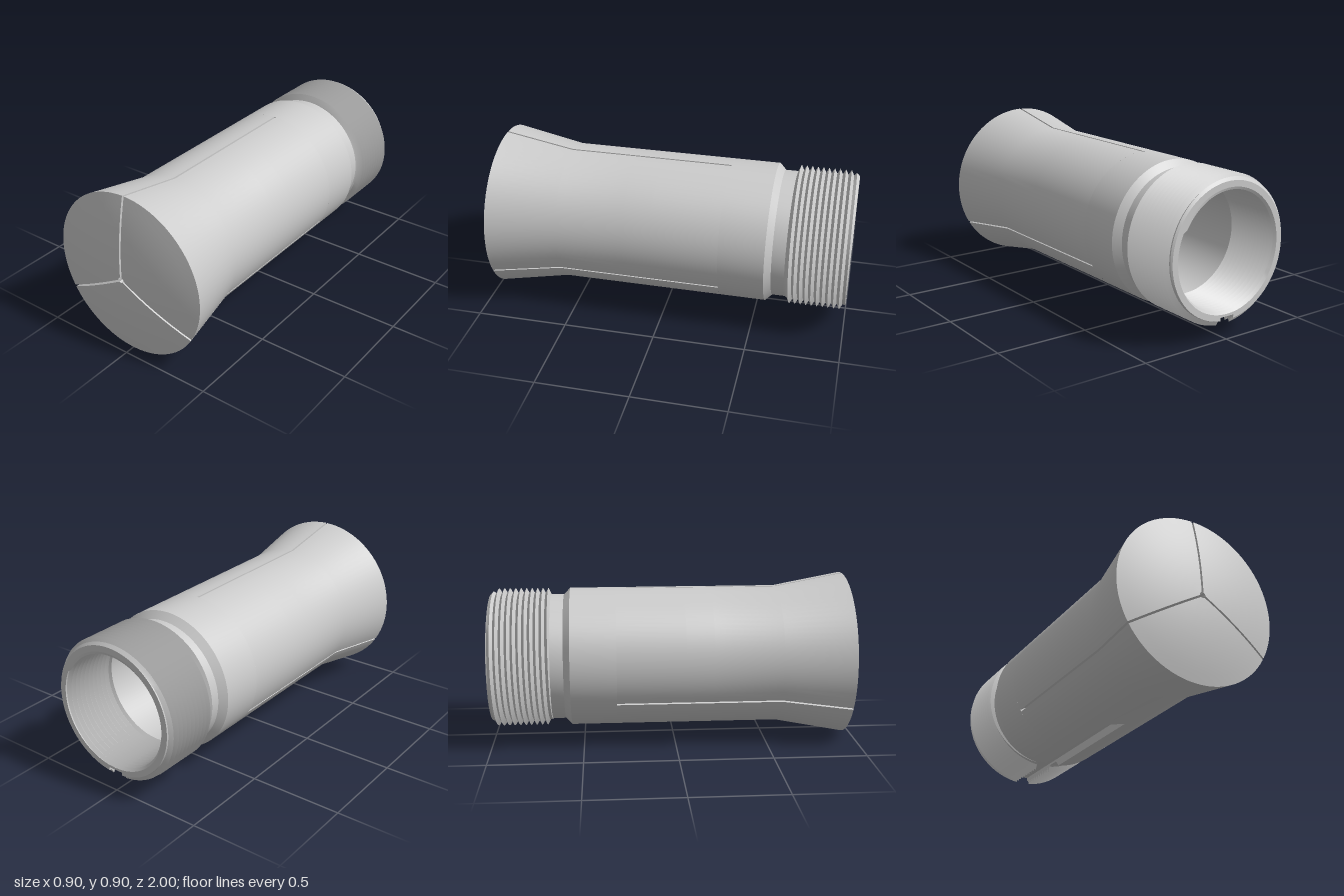
import * as THREE from 'three';
import { toCreasedNormals } from 'three/addons/utils/BufferGeometryUtils.js';

const TAU = Math.PI * 2;
const SLIT = 0.0055;          // half width of the three slits
const KEY = 0.042;            // half width of the keyway underneath
const PITCH = 0.03;
const STEPS = 28;             // columns per third of a turn
const SLIT_END = -0.32, BORE = 0.305, BODY = 0.38;
const START = Math.PI / 2;    // first slit points straight up

// Distance of the keyway floor from the axis; it ramps out towards the front
const keyFloor = (z) => (z > 0.2 ? Infinity : 0.33 + 0.05 * Math.max(0, (z - 0.05) / 0.15));

// Columns of one third: fraction along the sector, or a keyway column
function columns(sector) {
  const cols = [];
  for (let j = 0; j <= STEPS; j++) {
    const t = j / STEPS;
    if (sector === 1 && j === STEPS / 2) {
      for (const [s, cut] of [[-1, false], [-1, true], [0, true], [1, true], [1, false]]) cols.push({ key: true, s, cut, t });
    } else cols.push({ t });
  }
  return cols;
}

// Position of a profile point on a column; gap keeps slit walls parallel
function place([r, z], col, sector, gap) {
  const a = START + (sector * TAU) / 3, b = a + TAU / 3;
  const half = Math.min(KEY, r * 0.5);
  if (col.key) {
    const x = col.s * half, edge = Math.sqrt(r * r - x * x);
    return new THREE.Vector3(x, -(col.cut ? Math.min(edge, keyFloor(z)) : edge), z);
  }
  const inset = Math.asin(Math.min(1, gap / r));
  let from = a + inset, to = b - inset, t = col.t;
  if (sector === 1) {
    // split the sector around the keyway
    const mid = (a + b) / 2, k = Math.asin(half / r);
    if (t < 0.5) { to = mid - k; t *= 2; } else { from = mid + k; t = t * 2 - 1; }
  }
  const th = from + (to - from) * t;
  return new THREE.Vector3(r * Math.cos(th), r * Math.sin(th), z);
}

function triangle(out, a, b, c) {
  const area = b.clone().sub(a).cross(c.clone().sub(a)).length();
  if (area > 1e-9) for (const p of [a, b, c]) out.push(p.x, p.y, p.z);
}

// Sweep a profile over one third; a row is [r, z] or a function of the angle
function sweep(out, rows, sector, gap) {
  const grid = rows.map((row) => columns(sector).map((col) => {
    const angle = ((sector + col.t) * TAU) / 3;
    return place(typeof row === 'function' ? row(angle) : row, col, sector, gap);
  }));
  for (let i = 0; i + 1 < grid.length; i++) {
    for (let j = 0; j + 1 < grid[i].length; j++) {
      triangle(out, grid[i][j], grid[i + 1][j], grid[i][j + 1]);
      triangle(out, grid[i + 1][j], grid[i + 1][j + 1], grid[i][j + 1]);
    }
  }
  return grid;
}

// Flat slit wall closing one end of a sector
function slitWall(out, rows, points, angle, sign) {
  const outward = new THREE.Vector3(-Math.sin(angle), Math.cos(angle), 0).multiplyScalar(sign);
  const contour = rows.map(([r, z]) => new THREE.Vector2(r, z));
  for (const f of THREE.ShapeUtils.triangulateShape(contour, [])) {
    const [a, b, c] = f.map((i) => points[i]);
    const n = b.clone().sub(a).cross(c.clone().sub(a));
    if (n.dot(outward) > 0) triangle(out, a, b, c); else triangle(out, a, c, b);
  }
}

function makeMesh(name, positions, material) {
  let geo = new THREE.BufferGeometry();
  geo.setAttribute('position', new THREE.Float32BufferAttribute(positions, 3));
  geo.scale(100, 100, 100);   // crease test works on a coarse grid
  geo = toCreasedNormals(geo, 0.4);
  geo.scale(0.01, 0.01, 0.01);
  const mesh = new THREE.Mesh(geo, material);
  mesh.name = name;
  return mesh;
}

// Helical rows between z0 (back) and z1 (front), listed from front to back
function threadRows(z0, z1, crest, root, limit) {
  const rows = [];
  const n = Math.ceil((z1 - z0) / PITCH) * 2 + 2;
  for (let k = -1; k <= n + 1; k++) {
    rows.push((angle) => {
      const raw = z1 - (k * PITCH) / 2 + (PITCH * angle) / TAU;
      const z = Math.min(z1, Math.max(z0, raw));
      return [limit(k % 2 ? crest : root, z), z];
    });
  }
  return rows;
}

export function createModel() {
  const group = new THREE.Group();
  group.name = 'collet';
  const material = new THREE.MeshStandardMaterial({ color: 0xcccccc });

  // Jaws: bore, solid nose with pilot hole, domed face, flared head, body
  const jaw = [[BORE, SLIT_END], [BORE, 0.35], [0.016, 0.35]];
  for (let i = 0; i <= 8; i++) {
    const r = 0.016 + (0.434 * i) / 8;
    jaw.push([r, 1 - 0.055 * (r / 0.45) ** 2]);
  }
  jaw.push([BODY, 0.57], [BODY, 0.2], [BODY, 0.05], [BODY, SLIT_END]);
  for (let s = 0; s < 3; s++) {
    const out = [];
    const grid = sweep(out, jaw, s, SLIT);
    const a = START + (s * TAU) / 3;
    slitWall(out, jaw, grid.map((g) => g[0]), a, -1);
    slitWall(out, jaw, grid.map((g) => g[g.length - 1]), a + TAU / 3, 1);
    group.add(makeMesh('jaw' + (s + 1), out, material));
  }

  // Rear sleeve with neck, threads outside and inside
  const outerLimit = (r, z) => Math.min(r, 0.35 + (z + 1), 0.345 + 3 * (-0.67 - z));
  const innerLimit = (r, z) => (z <= -1 ? 0.318 : z >= -0.68 ? BORE : r);
  const parts = {
    rearSleeve: [[BORE, SLIT_END], [BODY, SLIT_END], [BODY, -0.565], [0.345, -0.6], [0.345, -0.67]],
    outerThread: threadRows(-1, -0.67, BODY, 0.352, outerLimit),
    rearRim: [[0.35, -1], [0.318, -1]],
    innerThread: threadRows(-1, -0.68, BORE, 0.322, innerLimit).reverse(),
    rearBore: [[BORE, -0.68], [BORE, SLIT_END]],
  };
  for (const [name, rows] of Object.entries(parts)) {
    const out = [];
    for (let s = 0; s < 3; s++) sweep(out, rows, s, 0);
    group.add(makeMesh(name, out, material));
  }

  // Lift the axis so the head rests on the ground
  group.children.forEach((m) => { m.position.y = 0.45; });
  return group;
}
